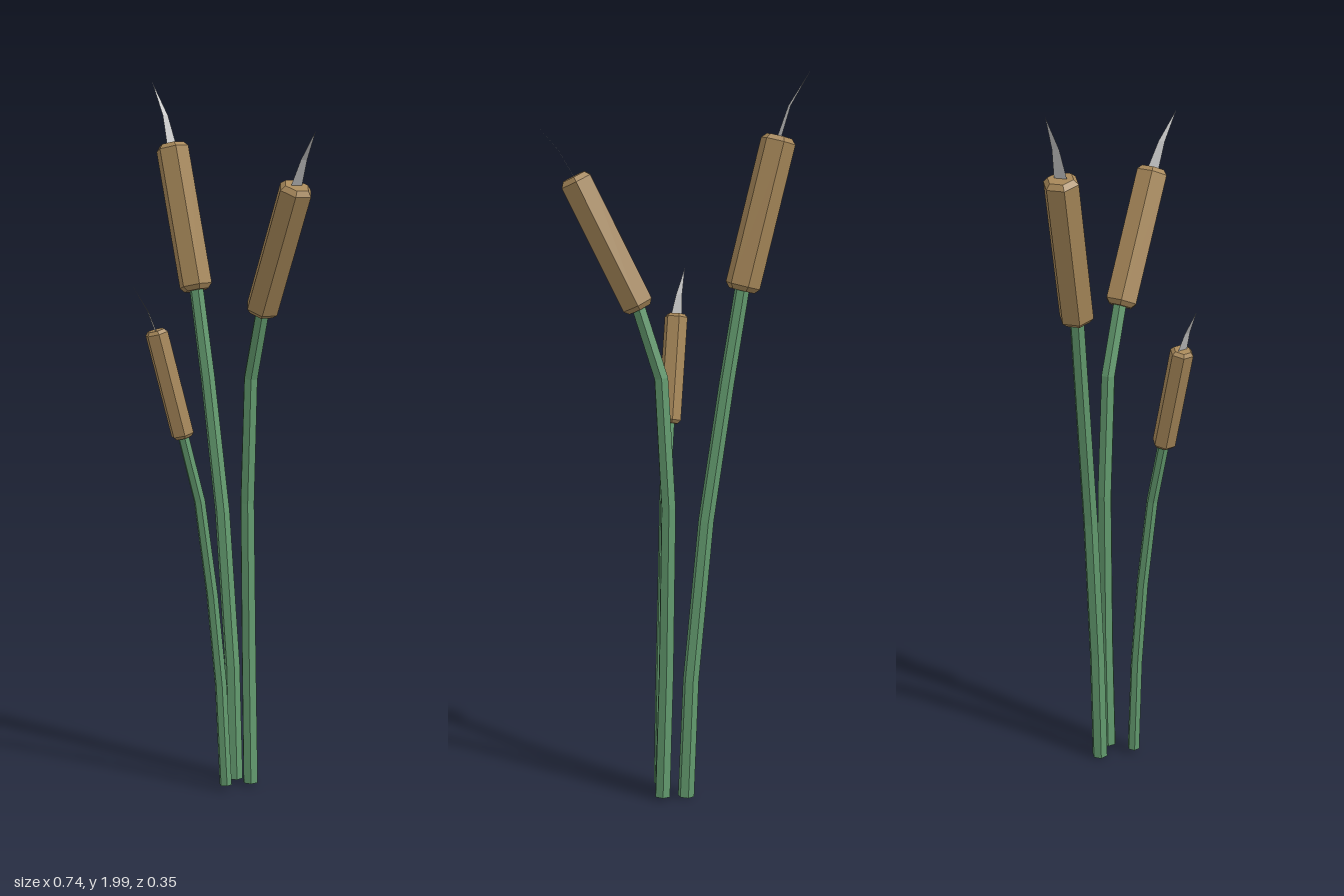
import * as THREE from 'three';

const V = (a) => new THREE.Vector3(...a);

// Faceted geometry from a flat list of points and triangle indices
function faceted(points, index) {
  const g = new THREE.BufferGeometry();
  g.setAttribute('position', new THREE.Float32BufferAttribute(points.flatMap((p) => p.toArray()), 3));
  g.setIndex(index);
  const flat = g.toNonIndexed();
  flat.computeVertexNormals();
  return flat;
}

// Closed six-sided loft along a path; the ridges line up with the side vector
function loft(path, radii, side, sides = 6) {
  const points = [], index = [];
  path.forEach((p, k) => {
    const t = path[Math.min(k + 1, path.length - 1)].clone().sub(path[Math.max(k - 1, 0)]).normalize();
    const u = side.clone().addScaledVector(t, -side.dot(t)).normalize();
    const w = t.clone().cross(u);
    for (let i = 0; i < sides; i++) {
      const a = (i / sides) * Math.PI * 2;
      points.push(p.clone().addScaledVector(u, Math.cos(a) * radii[k]).addScaledVector(w, Math.sin(a) * radii[k]));
    }
  });
  const last = (path.length - 1) * sides;
  for (let k = 0; k < last; k += sides) {
    for (let i = 0; i < sides; i++) {
      const j = (i + 1) % sides;
      index.push(k + i, k + j, k + sides + j, k + i, k + sides + j, k + sides + i);
    }
  }
  for (let i = 1; i < sides - 1; i++) {
    index.push(0, i + 1, i, last, last + i, last + i + 1);
  }
  return faceted(points, index);
}

// Flat pointed blade, bent once at the middle
function blade([base, mid, tip], halfWidth, side) {
  const at = (p, w) => p.clone().addScaledVector(side, w);
  const points = [
    at(base, -halfWidth), at(base, halfWidth),
    at(mid, -halfWidth * 0.55), at(mid, halfWidth * 0.55), tip,
  ];
  return faceted(points, [0, 1, 3, 0, 3, 2, 2, 3, 4]);
}

const REEDS = [
  { // tall reed leaning to -x
    name: 'tallReed', stemRadius: 0.023, headRadius: 0.048, bladeWidth: 0.018,
    stem: [[-0.033, 0.002, -0.145], [-0.046, 0.335, -0.145], [-0.088, 0.78, -0.143], [-0.145, 1.155, -0.138], [-0.19, 1.42, -0.132]],
    head: [[-0.187, 1.405, -0.132], [-0.29, 1.815, -0.127]],
    tip: [[-0.288, 1.808, -0.127], [-0.317, 1.895, -0.127], [-0.376, 1.99, -0.127]],
  },
  { // middle reed leaning to +x
    name: 'middleReed', stemRadius: 0.023, headRadius: 0.048, bladeWidth: 0.018,
    stem: [[0.034, 0.007, -0.145], [0.024, 0.36, -0.146], [0.017, 0.82, -0.144], [0.036, 1.175, -0.138], [0.1, 1.38, -0.125]],
    head: [[0.092, 1.362, -0.124], [0.262, 1.712, -0.094]],
    tip: [[0.258, 1.705, -0.094], [0.3, 1.78, -0.083], [0.364, 1.857, -0.064]],
  },
  { // short reed leaning forward
    name: 'shortReed', stemRadius: 0.018, headRadius: 0.033, bladeWidth: 0.016,
    stem: [[0.022, 0.015, -0.06], [0.015, 0.31, -0.047], [0.004, 0.57, -0.024], [-0.009, 0.84, 0.011], [-0.031, 1.035, 0.055]],
    head: [[-0.03, 1.02, 0.052], [-0.066, 1.318, 0.119]],
    tip: [[-0.066, 1.312, 0.118], [-0.078, 1.37, 0.137], [-0.103, 1.442, 0.172]],
  },
];

export function createModel() {
  const green = new THREE.MeshStandardMaterial({ color: 0x629a6e });
  green.name = 'stemGreen';
  const brown = new THREE.MeshStandardMaterial({ color: 0xa68759 });
  brown.name = 'headBrown';
  const grey = new THREE.MeshStandardMaterial({ color: 0xc8c8c8, side: THREE.DoubleSide });
  grey.name = 'tipGrey';

  const model = new THREE.Group();
  model.name = 'reeds';

  for (const reed of REEDS) {
    const group = new THREE.Group();
    group.name = reed.name;
    const add = (name, geometry, material) => {
      const mesh = new THREE.Mesh(geometry, material);
      mesh.name = name;
      group.add(mesh);
    };

    // Horizontal direction square to the way the reed bends
    const [low, high] = reed.head.map(V);
    const axis = high.clone().sub(low);
    const side = new THREE.Vector3(0, 1, 0).cross(axis).normalize();

    // Stem
    const r = reed.stemRadius;
    add('stem', loft(reed.stem.map(V), reed.stem.map((_, k) => r * (1 - 0.03 * k)), side), green);

    // Seed head with bevelled ends
    const bevel = (reed.headRadius * 0.28) / axis.length();
    const along = [0, bevel, 1 - bevel, 1].map((t) => low.clone().addScaledVector(axis, t));
    const R = reed.headRadius;
    add('seedHead', loft(along, [R * 0.74, R, R, R * 0.74], side), brown);

    // Pointed blade on top
    add('tipBlade', blade(reed.tip.map(V), reed.bladeWidth, side), grey);

    model.add(group);
  }
  return model;
}
